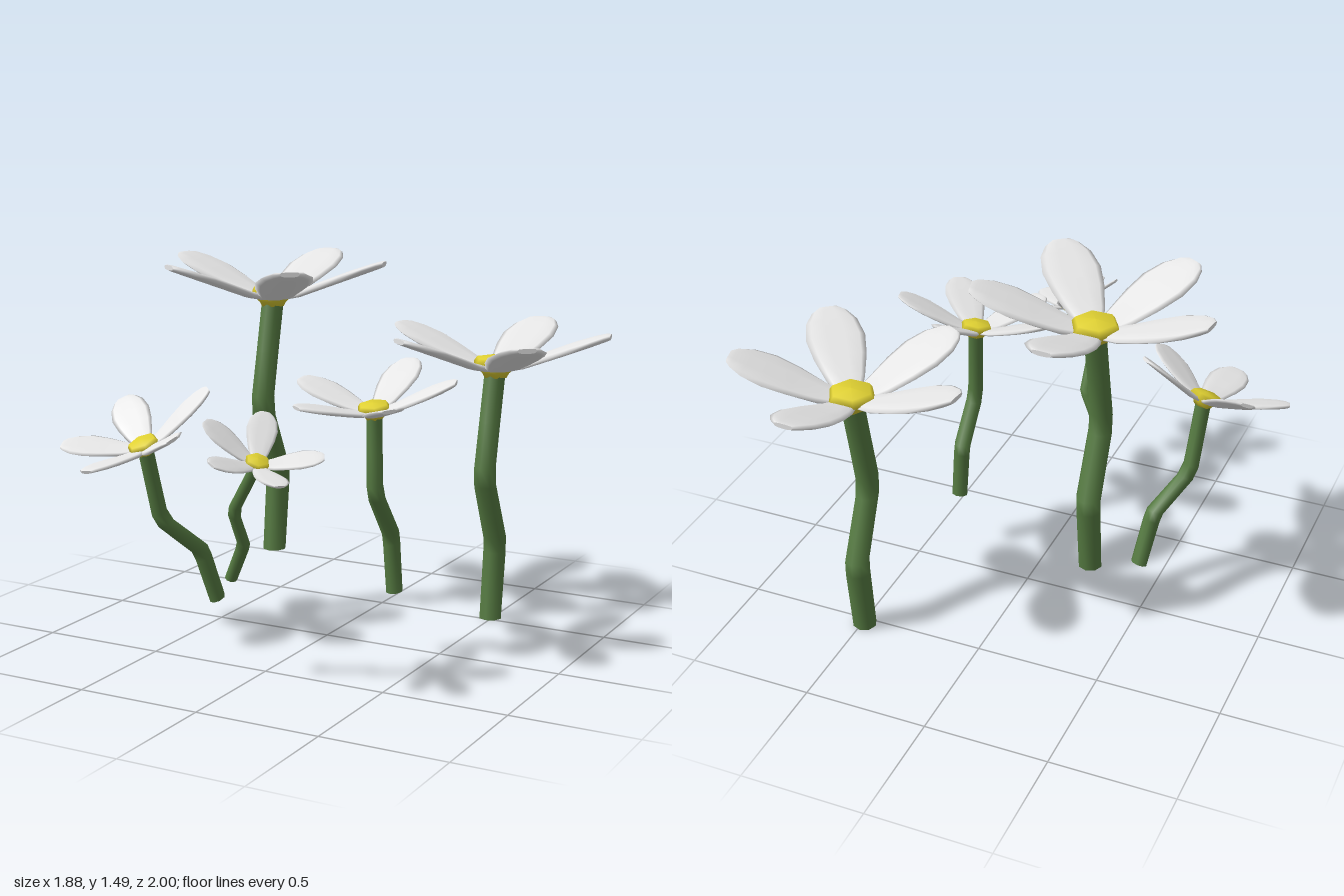
import * as THREE from 'three';

const petalWhite = new THREE.MeshStandardMaterial({ color: 0xe6e6e6 });
petalWhite.name = 'petalWhite';
const centreYellow = new THREE.MeshStandardMaterial({ color: 0xdfd032 });
centreYellow.name = 'centreYellow';
const stemGreen = new THREE.MeshStandardMaterial({ color: 0x557a41 });
stemGreen.name = 'stemGreen';

// Skin a closed surface over rings (counterclockwise seen from the far end), with crisp end caps
function loft(rings) {
  const n = rings[0].length;
  const pos = [];
  const idx = [];
  rings.forEach((ring) => ring.forEach((p) => pos.push(p.x, p.y, p.z)));
  for (let i = 0; i < rings.length - 1; i++) {
    for (let j = 0; j < n; j++) {
      const a = i * n + j;
      const b = i * n + ((j + 1) % n);
      idx.push(a, b, a + n, b, b + n, a + n);
    }
  }
  [rings[0], rings[rings.length - 1]].forEach((ring, end) => {
    const start = pos.length / 3;
    ring.forEach((p) => pos.push(p.x, p.y, p.z));
    for (let j = 1; j < n - 1; j++) {
      if (end) idx.push(start, start + j, start + j + 1);
      else idx.push(start, start + j + 1, start + j);
    }
  });
  const geo = new THREE.BufferGeometry();
  geo.setAttribute('position', new THREE.Float32BufferAttribute(pos, 3));
  geo.setIndex(idx);
  geo.computeVertexNormals();
  return geo;
}

const ringOf = (n, fn) => Array.from({ length: n }, (_, j) => fn((j / n) * Math.PI * 2));

// Kinked stem: height, forward offset, radius
const stemPath = [
  [0, 0, 0.048], [0.28, -0.032, 0.05], [0.34, -0.032, 0.05], [0.58, 0.078, 0.048],
  [0.66, 0.085, 0.047], [0.84, 0.045, 0.046], [1.04, 0, 0.046],
];
const stemGeo = loft(stemPath.map(([y, z, r]) =>
  ringOf(8, (a) => new THREE.Vector3(Math.sin(a) * r, y, z + Math.cos(a) * r))));

// Thick-rimmed petal along +z: distance out, height, half width, half thickness
const petalPath = [
  [0.04, 1.055, 0.045, 0.012], [0.12, 1.075, 0.074, 0.015], [0.22, 1.113, 0.102, 0.015],
  [0.31, 1.147, 0.115, 0.015], [0.39, 1.176, 0.1, 0.014], [0.44, 1.194, 0.068, 0.013], [0.462, 1.2, 0.04, 0.01],
];
const petalGeo = loft(petalPath.map(([z, y, w, t]) =>
  ringOf(10, (a) => new THREE.Vector3(
    Math.cos(a) * w,
    y + Math.sign(Math.sin(a)) * Math.sqrt(Math.abs(Math.sin(a))) * t + 0.05 * w * Math.cos(a) ** 2,
    z))));
const petalAngles = [3, 76, 142, 212, 277]; // clockwise from the back

// Six-sided domed flower centre, corners to the sides
const centreGeo = new THREE.LatheGeometry(
  [[0, 1.02], [0.05, 1.02], [0.062, 1.04], [0.1, 1.072], [0.08, 1.1], [0, 1.108]]
    .map(([r, y]) => new THREE.Vector2(r, y)), 6);
centreGeo.rotateY(Math.PI / 6);

function makeFlower() {
  const flower = new THREE.Group();
  const add = (geo, mat, name) => {
    const mesh = new THREE.Mesh(geo, mat);
    mesh.name = name;
    flower.add(mesh);
    return mesh;
  };
  add(stemGeo, stemGreen, 'stem');
  add(centreGeo, centreYellow, 'flowerCentre');
  for (const angle of petalAngles) {
    add(petalGeo, petalWhite, 'petal').rotation.y = THREE.MathUtils.degToRad(180 - angle);
  }
  return flower;
}

export function createModel() {
  const model = new THREE.Group();
  model.name = 'flowers';
  // Stem foot, growing direction, turn in degrees, scale
  const plants = [
    ['rightTallFlower', [0.489, 0, -0.53], [0, 1, 0], 0, 1],
    ['leftTallFlower', [-0.337, 0.283, -0.163], [0, 1, 0], 0, 1],
    ['middleFlower', [0.355, 0.268, 0.11], [-0.03, 0.73, 0.125], 0, 0.7],
    ['leftLeaningFlower', [-0.445, 0.125, 0.12], [-0.16, 0.68, 0.28], -44, 0.7],
    ['smallFrontFlower', [-0.06, 0.4, 0.645], [0.185, 0.48, 0.12], -55, 0.5],
  ];
  const up = new THREE.Vector3(0, 1, 0);
  for (const [name, foot, dir, turn, scale] of plants) {
    const flower = makeFlower();
    flower.name = name;
    flower.position.set(...foot);
    flower.scale.setScalar(scale);
    flower.quaternion.setFromUnitVectors(up, new THREE.Vector3(...dir).normalize())
      .multiply(new THREE.Quaternion().setFromAxisAngle(up, THREE.MathUtils.degToRad(turn)));
    model.add(flower);
  }
  return model;
}
